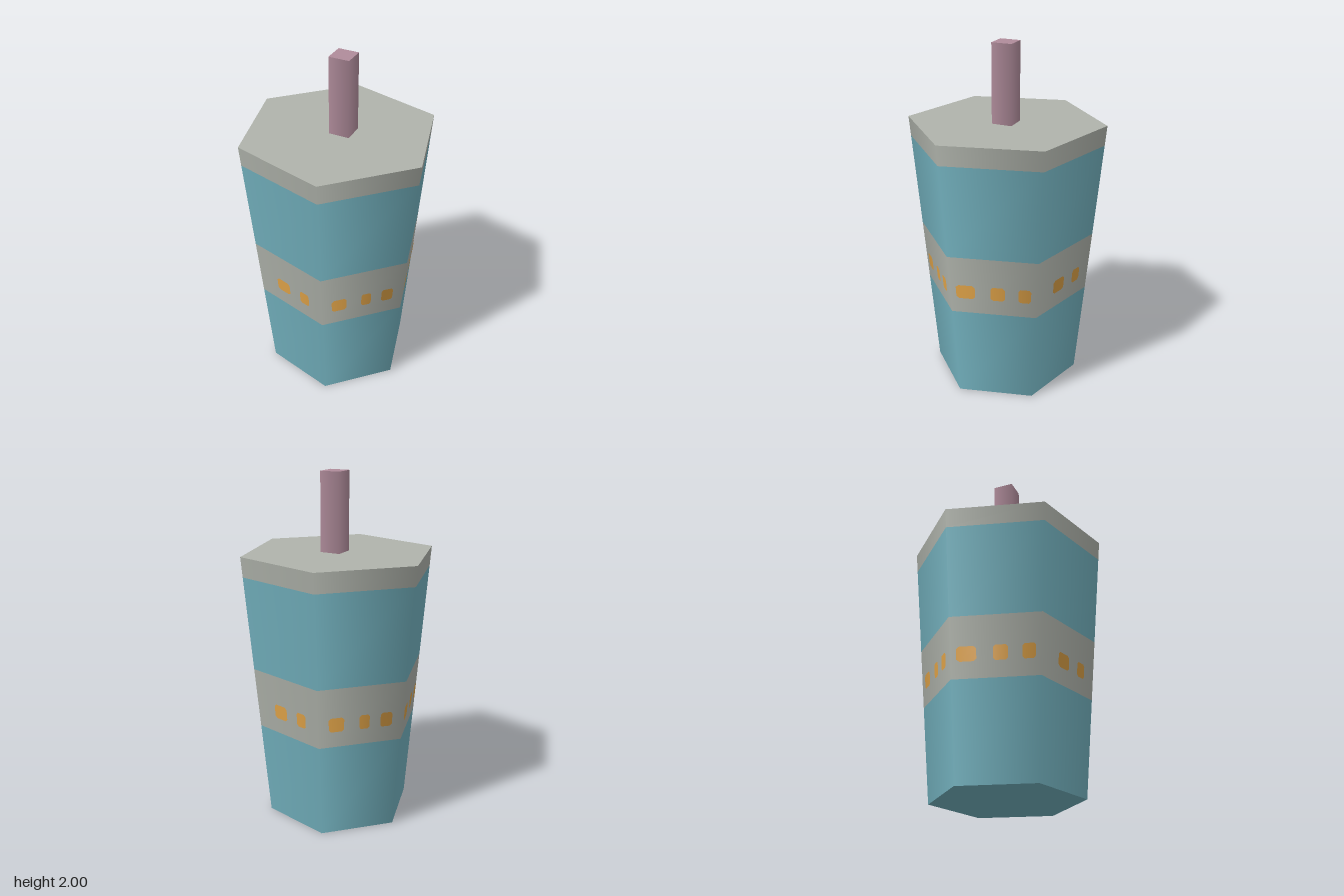
import * as THREE from 'three';

const material = (name, color) => new THREE.MeshStandardMaterial({ name, color });

const R0 = 0.427, R1 = 0.562, H = 1.552;
const radiusAt = (y) => R0 + (R1 - R0) * (y / H);

// Point on a side of the hexagonal cup: side 0 faces +z, t runs along the side
function cupPoint(side, t, y, lift) {
  const corner = (k) => {
    const a = (k - 0.5) * Math.PI / 3;
    return new THREE.Vector3(Math.sin(a), 0, Math.cos(a));
  };
  const radial = corner(side).lerp(corner(side + 1), t);
  const a = side * Math.PI / 3;
  const p = radial.clone().multiplyScalar(radiusAt(y));
  p.x += Math.sin(a) * lift;
  p.z += Math.cos(a) * lift;
  p.y = y;
  const n = radial.normalize().setY(-(R1 - R0) / H).normalize();
  return { p, n };
}

// Thin painted patch with clipped corners, lying on a cup side
function patchGeometry(side, t0, t1, y0, y1) {
  const ct = (t1 - t0) * 0.15, cy = (y1 - y0) * 0.15;
  const outline = [
    [t0 + ct, y0], [t1 - ct, y0], [t1, y0 + cy], [t1, y1 - cy],
    [t1 - ct, y1], [t0 + ct, y1], [t0, y1 - cy], [t0, y0 + cy],
  ];
  const positions = [], normals = [], index = [];
  for (const [t, y] of outline) {
    const { p, n } = cupPoint(side, t, y, 0.003);
    positions.push(p.x, p.y, p.z);
    normals.push(n.x, n.y, n.z);
  }
  for (let i = 1; i < outline.length - 1; i++) index.push(0, i, i + 1);
  const g = new THREE.BufferGeometry();
  g.setAttribute('position', new THREE.Float32BufferAttribute(positions, 3));
  g.setAttribute('normal', new THREE.Float32BufferAttribute(normals, 3));
  g.setIndex(index);
  return g;
}

export function createModel() {
  const group = new THREE.Group();
  group.name = 'drinkCup';
  const blue = material('cupBlue', 0x74b3c0);
  const grey = material('paleGrey', 0xb0b4ac);
  const mauve = material('strawMauve', 0xb08c9b);
  const orange = material('markOrange', 0xe0a348);

  const add = (name, geometry, mat) => {
    const mesh = new THREE.Mesh(geometry, mat);
    mesh.name = name;
    group.add(mesh);
    return mesh;
  };

  // Tapered hexagonal cup, stacked in coloured bands
  const bands = [
    ['lowerCup', 0, 0.55, blue],
    ['labelBand', 0.55, 0.9, grey],
    ['upperCup', 0.9, 1.438, blue],
    ['lid', 1.438, H, grey],
  ];
  for (const [name, y0, y1, mat] of bands) {
    const g = new THREE.CylinderGeometry(radiusAt(y1), radiusAt(y0), y1 - y0, 6, 1, false, Math.PI / 2);
    add(name, g, mat).position.y = (y0 + y1) / 2;
  }

  // Label marks: three side patterns, repeated on the opposite sides
  const marks = [
    [[0.12, 0.30], [0.48, 0.60], [0.73, 0.87]],
    [[0.07, 0.29], [0.47, 0.635], [0.79, 0.935]],
    [[0.30, 0.50], [0.665, 0.805]],
  ];
  for (let side = 0; side < 6; side++) {
    marks[side % 3].forEach(([t0, t1], i) =>
      add(`labelMark${side}_${i}`, patchGeometry(side, t0, t1, 0.643, 0.727), orange));
  }

  // Four-sided straw, slightly off centre
  const straw = add('straw', new THREE.CylinderGeometry(0.083, 0.083, 0.6, 4), mauve);
  straw.position.set(0.022, 1.7, 0.009);

  return group;
}
